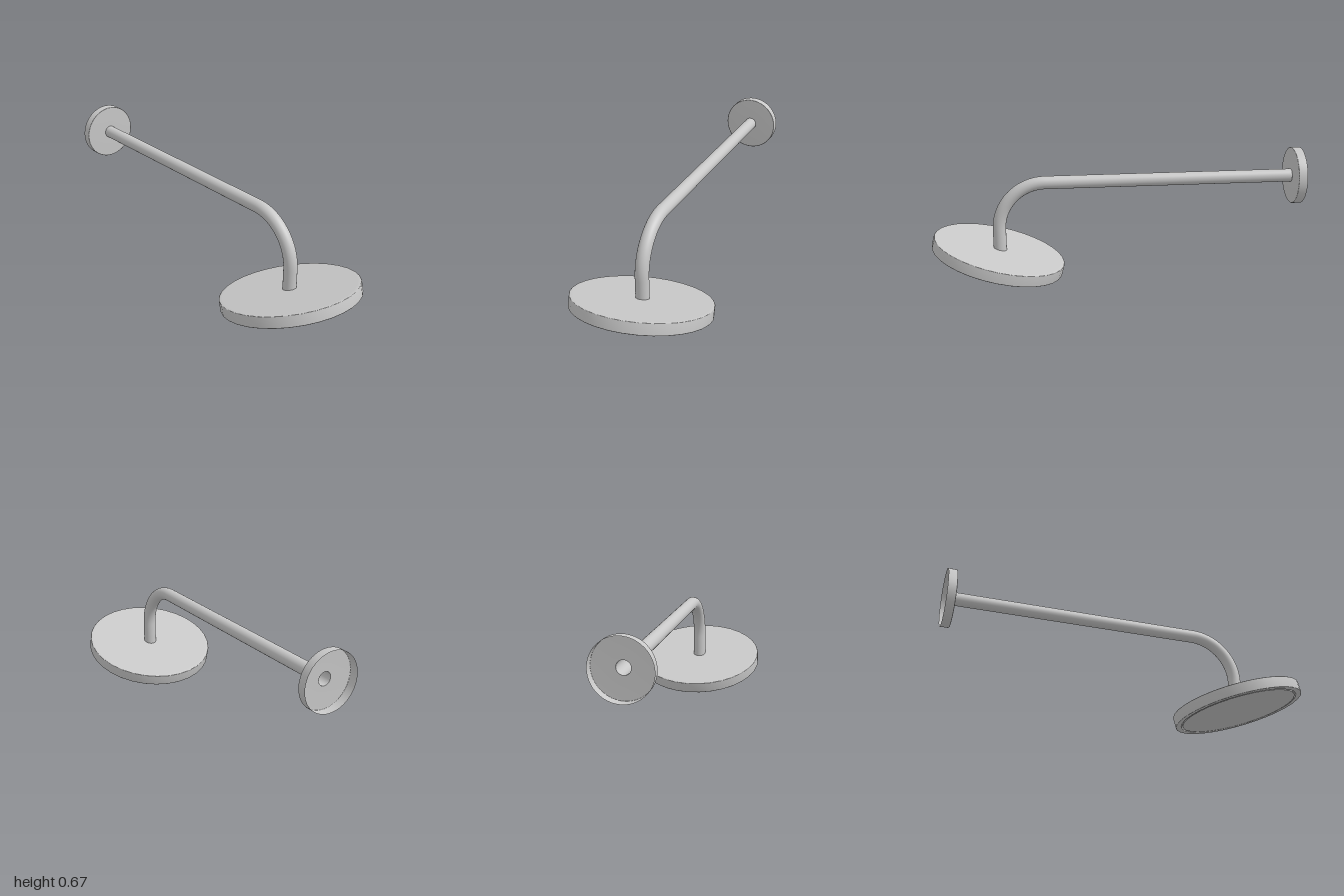
import * as THREE from 'three';

const PIPE_R = 0.035, PIPE_Y = 0.516, DROP_Z = 0.64, BEND = 0.25;

// Spin an [radius, height] profile about y, with softly shaded edges
function turned(profile, segments) {
  return new THREE.LatheGeometry(profile.map(([r, y]) => new THREE.Vector2(r, y)), segments);
}

export function createModel() {
  const metal = new THREE.MeshStandardMaterial({ color: 0xc8c8c8, side: THREE.DoubleSide });
  metal.name = 'brushed metal';

  const model = new THREE.Group();
  model.name = 'wallShower';
  const add = (parent, name, geometry) => {
    const mesh = new THREE.Mesh(geometry, metal);
    mesh.name = name;
    parent.add(mesh);
    return mesh;
  };

  // Wall flange: shallow cup, open towards the wall, with a hole for the pipe
  const flange = add(model, 'wallFlange',
    turned([[0.153, -0.048], [0.153, -0.003], [0.15, 0], [PIPE_R, 0]], 64));
  flange.rotation.x = Math.PI / 2;
  flange.position.set(0, PIPE_Y, -0.952);

  // Arm: straight run, quarter bend and drop, one hollow pipe
  const path = new THREE.CurvePath();
  const v = (y, z) => new THREE.Vector3(0, y, z);
  path.add(new THREE.LineCurve3(v(PIPE_Y, -0.952), v(PIPE_Y, DROP_Z - BEND)));
  const k = BEND * 0.4477; // quarter-circle Bezier handle inset
  path.add(new THREE.CubicBezierCurve3(
    v(PIPE_Y, DROP_Z - BEND), v(PIPE_Y, DROP_Z - k),
    v(PIPE_Y - k, DROP_Z), v(PIPE_Y - BEND, DROP_Z)));
  path.add(new THREE.LineCurve3(v(PIPE_Y - BEND, DROP_Z), v(0.135, DROP_Z)));
  add(model, 'arm', new THREE.TubeGeometry(path, 120, PIPE_R, 32));

  // Shower head, tilted so its front edge is raised
  const head = new THREE.Group();
  head.name = 'showerHead';
  head.position.set(0, 0.125, 0.648);
  head.rotation.x = -THREE.MathUtils.degToRad(15);
  model.add(head);

  // Disc body with a narrow groove around the nozzle face
  add(head, 'headBody', turned([
    [0, -0.021], [0.326, -0.021], [0.327, -0.029], [0.329, -0.031],
    [0.356, -0.031], [0.359, -0.028],
    [0.359, 0.028], [0.356, 0.031], [0.34, 0.031], [0, 0.031],
  ], 32));
  const face = add(head, 'nozzleFace', new THREE.CylinderGeometry(0.32, 0.32, 0.009, 32));
  face.position.y = -0.0262;

  return model;
}
